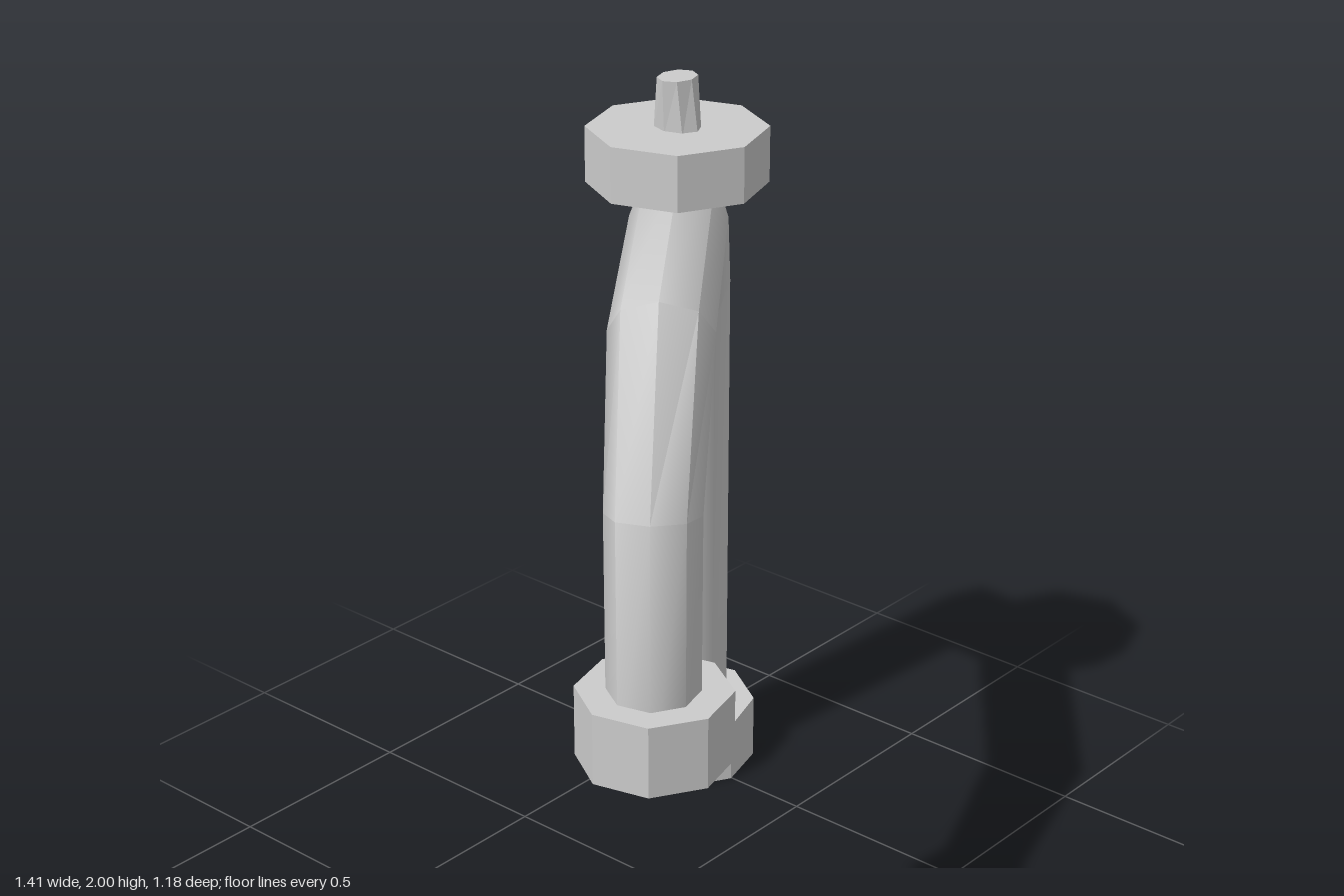
import * as THREE from 'three';
import { toCreasedNormals } from 'three/addons/utils/BufferGeometryUtils.js';

const grey = new THREE.MeshStandardMaterial({ color: 0xcccccc, side: THREE.DoubleSide });
const flatGrey = new THREE.MeshStandardMaterial({ color: 0xcccccc, flatShading: true });

// the pipe lies in a vertical plane turned about y: along = in plane, across = out of plane
const along = new THREE.Vector3(0.79, 0, -0.613);
const across = new THREE.Vector3(0.613, 0, 0.79);
const SIDES = 8;

// each ring: outer point (s, y), inner point (s, y), half width across the plane
const rings = [
  [-0.785, 0.77, -0.578, 0.77, 0.103],
  [-0.79, 1.38, -0.57, 1.33, 0.105],
  [-0.465, 1.745, -0.28, 1.537, 0.117],
  [0.455, 1.745, 0.23, 1.537, 0.117],
  [0.77, 1.47, 0.55, 1.25, 0.112],
  [0.77, 0, 0.55, 0, 0.112],
];

function pipeGeometry() {
  const positions = [], index = [];
  rings.forEach(([so, yo, si, yi, w], i) => {
    for (let j = 0; j < SIDES; j++) {
      const a = (j / SIDES) * Math.PI * 2;
      const s = (so + si) / 2 + Math.cos(a) * (so - si) / 2;
      const y = (yo + yi) / 2 + Math.cos(a) * (yo - yi) / 2;
      const p = along.clone().multiplyScalar(s).addScaledVector(across, Math.sin(a) * w);
      positions.push(p.x, y, p.z);
      if (i < rings.length - 1) {
        const k = (j + 1) % SIDES;
        const A = i * SIDES + j, B = i * SIDES + k;
        index.push(A, B, B + SIDES, A, B + SIDES, A + SIDES);
      }
    }
  });
  const geo = new THREE.BufferGeometry();
  geo.setAttribute('position', new THREE.Float32BufferAttribute(positions, 3));
  geo.setIndex(index);
  return toCreasedNormals(geo, 0.82);
}

// eight-sided ring or disc; turn is the angle of its first corner in degrees
function octagon(name, x, z, inner, outer, y0, y1, turn) {
  const profile = [[inner, y0], [outer, y0], [outer, y1], [inner, y1]]
    .map(([r, y]) => new THREE.Vector2(r, y));
  const geo = new THREE.LatheGeometry(profile, SIDES, -THREE.MathUtils.degToRad(turn));
  const mesh = new THREE.Mesh(geo, flatGrey);
  mesh.name = name;
  mesh.position.set(x, 0, z);
  return mesh;
}

export function createModel() {
  const group = new THREE.Group();
  group.name = 'bentPipe';

  const pipe = new THREE.Mesh(pipeGeometry(), grey);
  pipe.name = 'pipe';
  group.add(pipe);

  // collars at the two open ends
  group.add(octagon('shortEndCollar', -0.535, 0.417, 0.1, 0.174, 0.77, 0.94, 8));
  const tallCollar = octagon('tallEndCollar', 0.52, -0.405, 0.108, 0.186, 0, 0.171, 7);
  const p = tallCollar.geometry.attributes.position;
  for (let i = 0; i < p.count; i++) {
    // its top edge rises slightly toward the outside
    if (p.getY(i) > 0.1) p.setY(i, 0.171 + 0.08 * (p.getX(i) * along.x + p.getZ(i) * along.z));
  }
  group.add(tallCollar);

  // round cap on the bar with a tapered stem
  group.add(octagon('cap', 0.228, -0.178, 0, 0.214, 1.745, 1.88, 4));
  const stemGeo = new THREE.CylinderGeometry(1, 1, 0.13, SIDES);
  const q = stemGeo.attributes.position;
  for (let i = 0; i < q.count; i++) {
    const top = q.getY(i) > 0;
    q.setX(i, q.getX(i) * (top ? 0.053 : 0.047));
    q.setZ(i, q.getZ(i) * (top ? 0.043 : 0.062));
  }
  const stem = new THREE.Mesh(stemGeo, flatGrey);
  stem.name = 'stem';
  stem.position.set(0.226, 1.935, -0.176);
  group.add(stem);

  return group;
}
